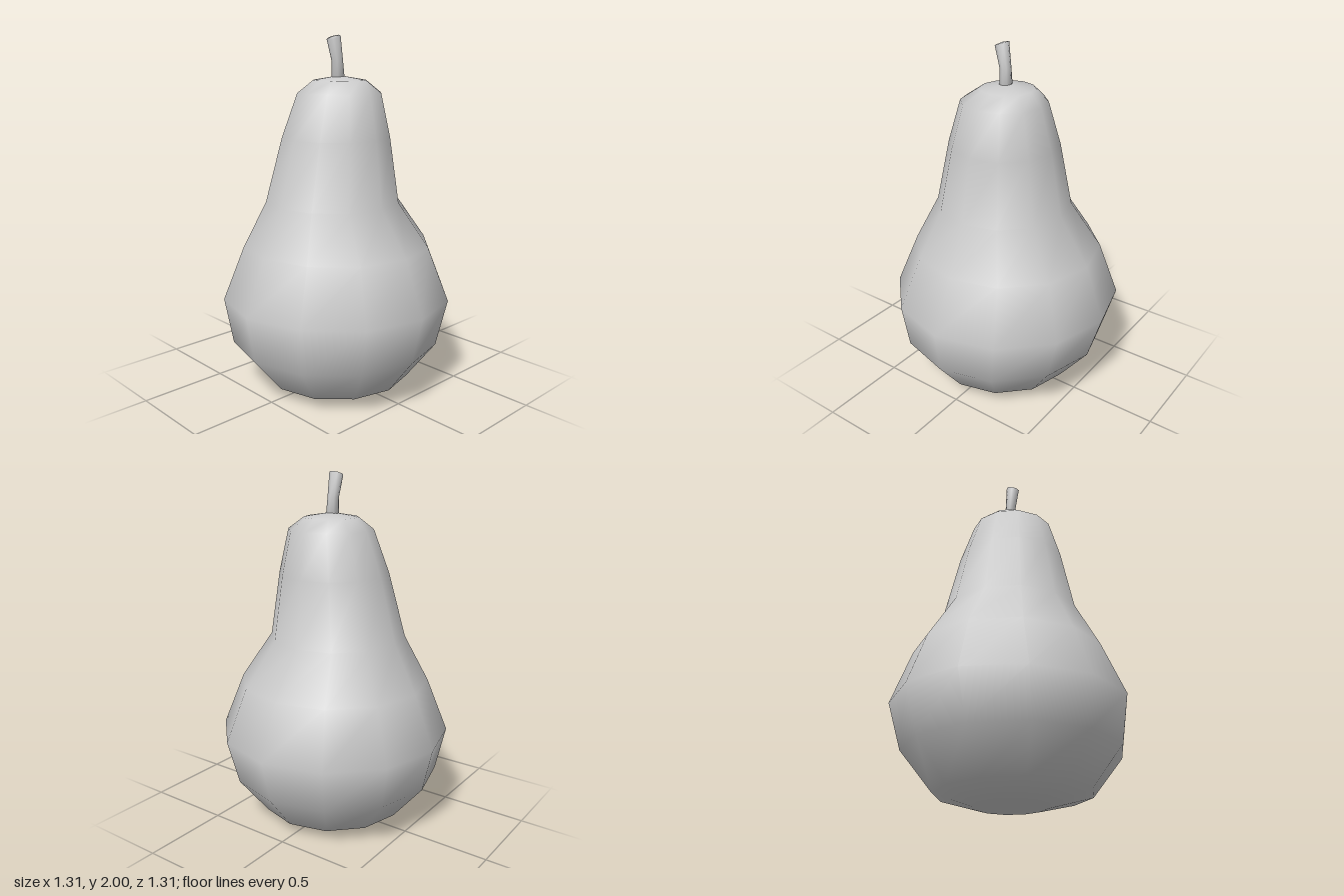
import * as THREE from 'three';

// Smooth loft through rings [x, y, z, radius, slope]; slope tilts a ring along x.
// Both ends close on a centre point, offset in y by the given cap heights.
function loft(rings, sides, bottomCap, topCap) {
  const pos = [], index = [];
  for (const [x, y, z, r, slope = 0] of rings) {
    for (let i = 0; i < sides; i++) {
      const a = (i / sides) * Math.PI * 2;
      const dx = r * Math.cos(a);
      pos.push(x + dx, y + slope * dx, z + r * Math.sin(a));
    }
  }
  const first = rings[0], last = rings[rings.length - 1];
  const bottom = rings.length * sides, top = bottom + 1;
  pos.push(first[0], first[1] + bottomCap, first[2], last[0], last[1] + topCap, last[2]);
  const end = (rings.length - 1) * sides;
  for (let i = 0; i < sides; i++) {
    const j = (i + 1) % sides;
    for (let k = 0; k < end; k += sides) {
      index.push(k + i, k + sides + i, k + j, k + j, k + sides + i, k + sides + j);
    }
    index.push(bottom, i, j, top, end + j, end + i);
  }
  const geometry = new THREE.BufferGeometry();
  geometry.setAttribute('position', new THREE.Float32BufferAttribute(pos, 3));
  geometry.setIndex(index);
  geometry.computeVertexNormals();
  return geometry;
}

export function createModel() {
  const model = new THREE.Group();
  model.name = 'pear';
  const material = new THREE.MeshStandardMaterial({ color: 0xcccccc });

  // Fruit body: twelve-sided, rings slightly off centre for a natural shape
  const body = new THREE.Mesh(loft([
    [-0.005, 0.003, 0, 0.2],
    [-0.015, 0.065, 0.015, 0.425],
    [-0.018, 0.28, 0.008, 0.597],
    [0, 0.54, 0, 0.655],
    [0.005, 0.84, -0.005, 0.535],
    [-0.022, 1.09, -0.008, 0.382],
    [-0.008, 1.45, 0.008, 0.307],
    [0.002, 1.69, 0.022, 0.236],
    [0.015, 1.757, 0.01, 0.15],
  ], 12, -0.003, 0.025), material);
  body.name = 'body';

  // Stem: thin, bent towards -x, with a tilted cut end
  const stem = new THREE.Mesh(loft([
    [0.004, 1.765, 0.01, 0.036],
    [0, 1.86, 0.008, 0.031, 0.12],
    [-0.025, 1.985, 0.005, 0.038, 0.35],
  ], 8, 0, 0.006), material);
  stem.name = 'stem';

  model.add(body, stem);
  return model;
}
